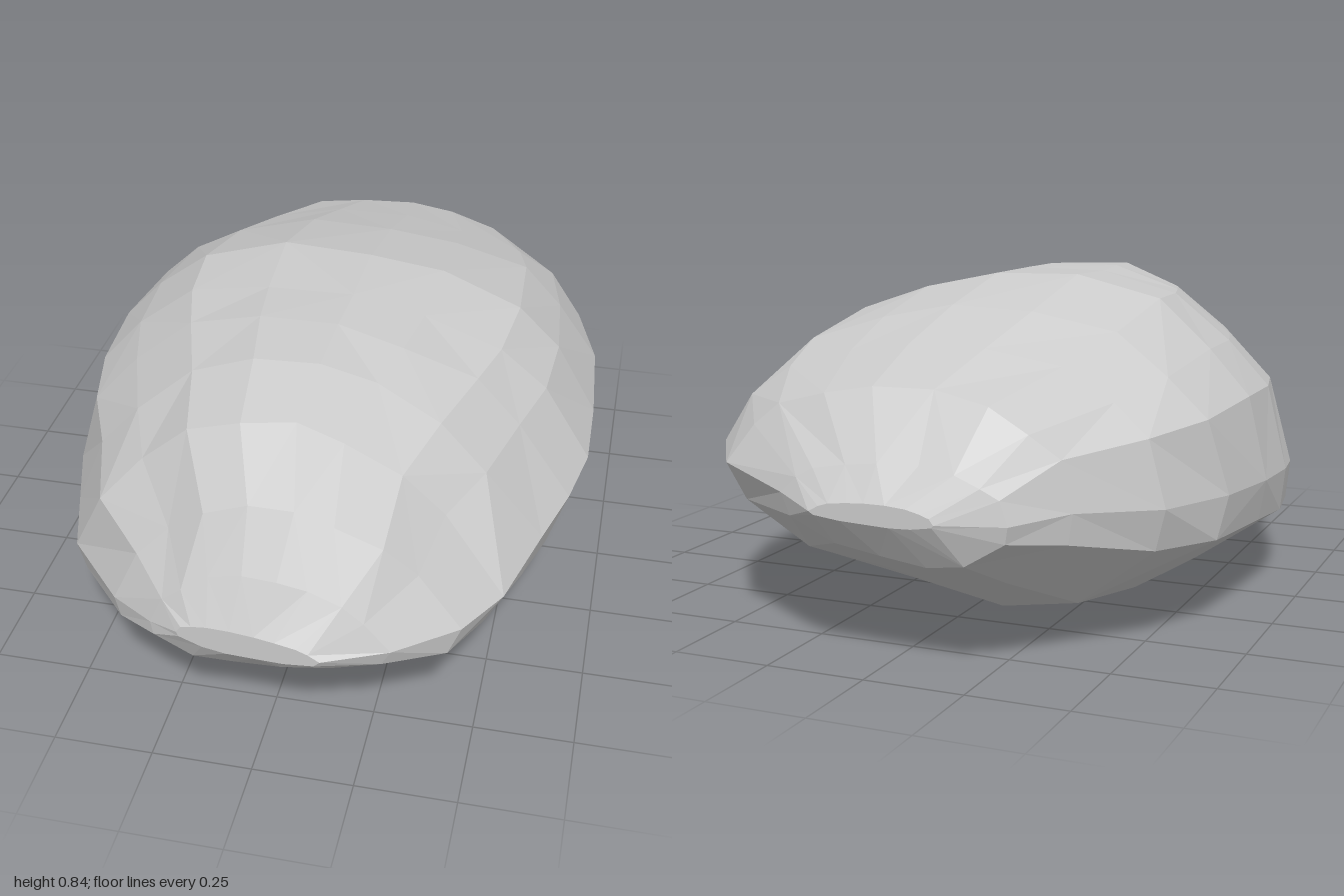
import * as THREE from 'three';

// Stations along the stone: z, min x, max x, bottom y, edge y, top y, narrowing of the crown
const STATIONS = [
  [-1.0, -0.18, 0.13, 0.36, 0.38, 0.41, 0],
  [-0.94, -0.33, 0.24, 0.26, 0.4, 0.49, 0],
  [-0.81, -0.43, 0.46, 0.18, 0.43, 0.64, 0],
  [-0.58, -0.58, 0.62, 0.07, 0.43, 0.71, 0],
  [-0.38, -0.67, 0.68, 0.05, 0.42, 0.78, 0],
  [-0.1, -0.7, 0.7, 0.03, 0.41, 0.845, 0],
  [0.12, -0.7, 0.7, 0.01, 0.4, 0.84, 0.05],
  [0.28, -0.67, 0.67, 0.0, 0.39, 0.84, 0.12],
  [0.46, -0.61, 0.62, 0.04, 0.38, 0.83, 0.22],
  [0.65, -0.55, 0.55, 0.09, 0.37, 0.78, 0.3],
  [0.82, -0.38, 0.47, 0.18, 0.37, 0.67, 0.25],
  [0.92, -0.26, 0.32, 0.26, 0.37, 0.53, 0.15],
  [0.98, -0.18, 0.17, 0.34, 0.38, 0.41, 0],
];
const LAST = STATIONS.length - 1;

// Lopsided section outline, counter-clockwise from the right edge (u across, v up)
const OUTLINE = [
  [1, 0], [0.84, 0.46], [0.68, 0.73], [0.38, 0.9], [0.1, 1], [-0.24, 1],
  [-0.56, 0.87], [-0.78, 0.6], [-0.93, 0.33], [-1, -0.2], [-0.97, -0.49],
  [-0.64, -0.9], [-0.3, -1], [0.1, -0.88], [0.5, -0.75], [0.92, -0.38],
];

// Repeatable roughness in -1..1
const rough = (i, j, k) => {
  const s = Math.sin(i * 12.99 + j * 78.23 + k * 37.7) * 43758.55;
  return 2 * (s - Math.floor(s)) - 1;
};

function sectionPoint(i, j) {
  const [z, x0, x1, y0, edgeY, y1, taper] = STATIONS[i];
  const [u, v] = OUTLINE[j];
  // Chips fade out towards both ends; the front tip leans forward on its right
  const chip = Math.min(i, LAST - i, 3) / 3;
  const shrink = 1 - 0.008 * chip * (1 + rough(i, j, 1));
  const narrow = 1 - taper * Math.max(v, 0);
  const lean = i === LAST ? 0.02 * u : 0;
  return new THREE.Vector3(
    (x0 + x1) / 2 + (u * shrink * narrow * (x1 - x0)) / 2,
    edgeY + v * shrink * (v > 0 ? y1 - edgeY : edgeY - y0),
    z + lean + 0.025 * chip * rough(i, j, 2)
  );
}

export function createModel() {
  const group = new THREE.Group();
  group.name = 'rock';

  const n = OUTLINE.length;
  const loops = STATIONS.map((_, i) => OUTLINE.map((_, j) => sectionPoint(i, j)));
  const points = [];

  // Faceted skin, with the diagonals varied for a chipped look
  for (let i = 0; i < LAST; i++) {
    for (let j = 0; j < n; j++) {
      const k = (j + 1) % n;
      const a = loops[i][j], b = loops[i][k], c = loops[i + 1][k], d = loops[i + 1][j];
      if (rough(i, j, 3) > 0) points.push(a, b, c, a, c, d);
      else points.push(a, b, d, b, c, d);
    }
  }

  // Small blunt ends
  for (let j = 1; j < n - 1; j++) {
    points.push(loops[LAST][0], loops[LAST][j], loops[LAST][j + 1]);
    points.push(loops[0][0], loops[0][j + 1], loops[0][j]);
  }

  const geometry = new THREE.BufferGeometry().setFromPoints(points);
  geometry.computeVertexNormals();
  const stone = new THREE.Mesh(
    geometry,
    new THREE.MeshStandardMaterial({ color: 0xcccccc, flatShading: true })
  );
  stone.name = 'stone';
  group.add(stone);
  return group;
}
